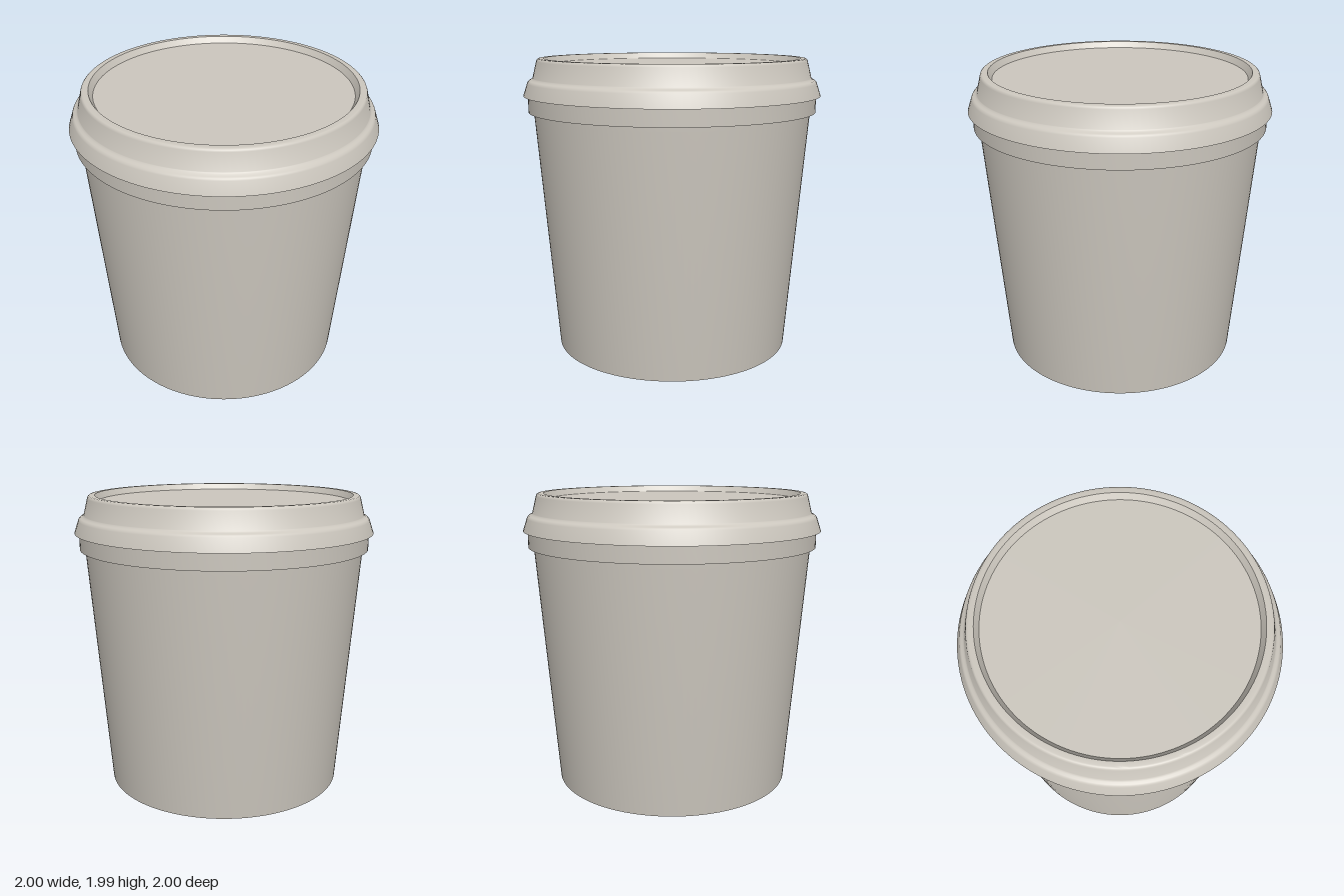
import * as THREE from 'three';
import { toCreasedNormals } from 'three/addons/utils/BufferGeometryUtils.js';

const plastic = new THREE.MeshStandardMaterial({ color: 0xccc7be });
plastic.name = 'warm grey plastic';

// Revolve a profile of [radius, height] pairs, keeping its corners sharp
function revolve(name, profile) {
  const points = profile.map(([r, y]) => new THREE.Vector2(r, y));
  const geometry = toCreasedNormals(new THREE.LatheGeometry(points, 128), 0.5);
  const mesh = new THREE.Mesh(geometry, plastic);
  mesh.name = name;
  return mesh;
}

export function createModel() {
  const group = new THREE.Group();
  group.name = 'lidded tub';

  // Tapered tub with a recessed underside and a thin foot ring
  group.add(revolve('tub', [
    [0, 0.08], [0.77, 0.08], [0.765, 0], [0.805, 0],
    [0.932, 1.605], [0.935, 1.7],
  ]));

  // Collar under the lid
  group.add(revolve('collar', [
    [0.934, 1.635], [0.97, 1.635], [0.97, 1.745],
  ]));

  // Flared lid with a stepped shoulder, raised rim and sunken panel
  group.add(revolve('lid', [
    [0.965, 1.742], [1, 1.742], [0.972, 1.825], [0.967, 1.835],
    [0.958, 1.843], [0.945, 1.848], [0.937, 1.857], [0.935, 1.86],
    [0.908, 1.968], [0.904, 1.978], [0.897, 1.984], [0.888, 1.986],
    [0.858, 1.986], [0.832, 1.945], [0, 1.945],
  ]));

  return group;
}
